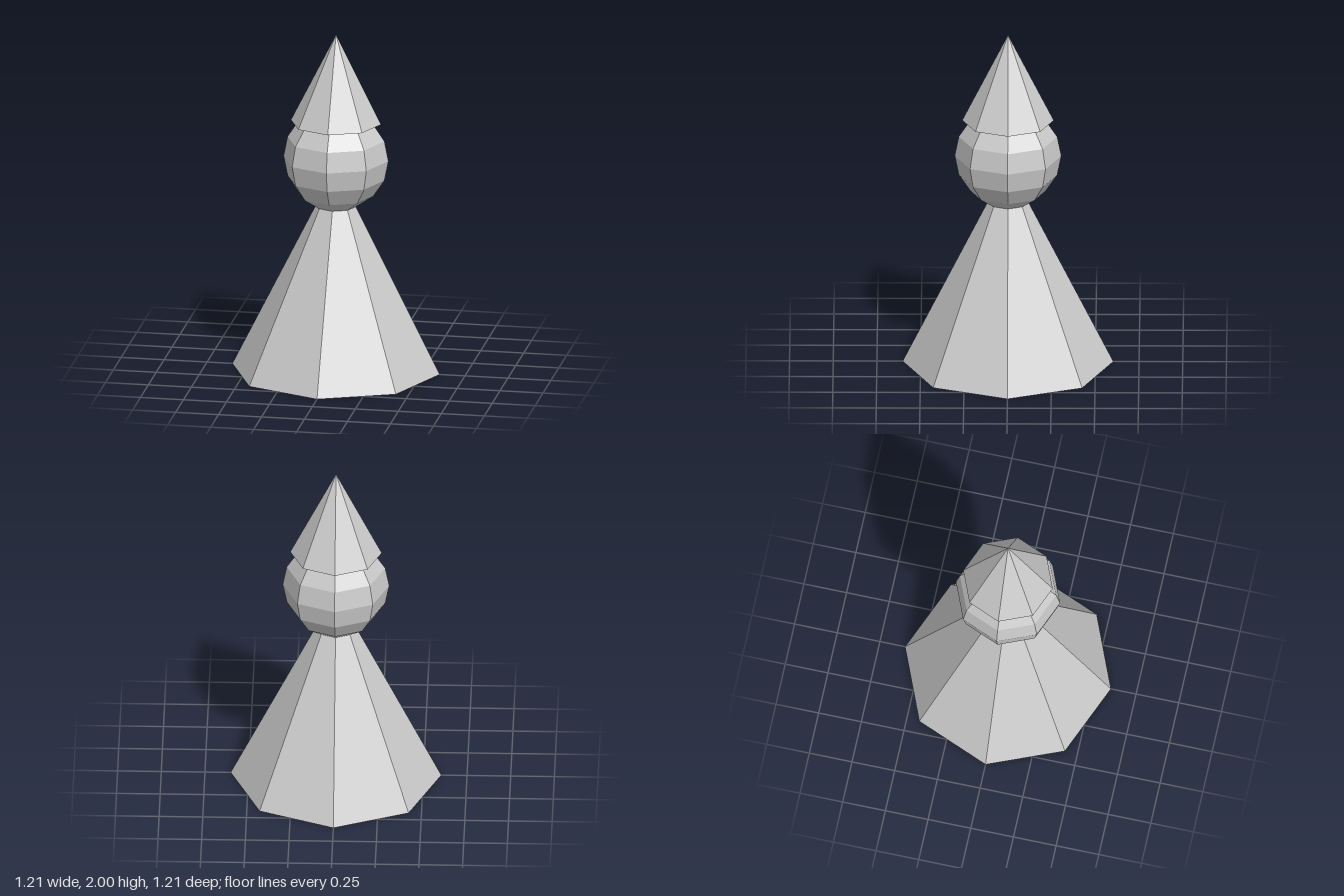
import * as THREE from 'three';

const SIDES = 8;

export function createModel() {
  const group = new THREE.Group();
  const material = new THREE.MeshStandardMaterial({ color: 0xcccccc, flatShading: true });

  const add = (name, geometry, y) => {
    const mesh = new THREE.Mesh(geometry, material);
    mesh.name = name;
    mesh.position.y = y;
    group.add(mesh);
  };

  // Tall conical body whose tip is hidden inside the head
  const bodyHeight = 1.21;
  add('body', new THREE.ConeGeometry(0.603, bodyHeight, SIDES), bodyHeight / 2);

  // Faceted round head
  add('head', new THREE.SphereGeometry(0.305, SIDES, 8), 1.26);

  // Pointed hat with a closed base
  const hatHeight = 0.523;
  add('hat', new THREE.ConeGeometry(0.262, hatHeight, SIDES), 2 - hatHeight / 2);

  return group;
}
